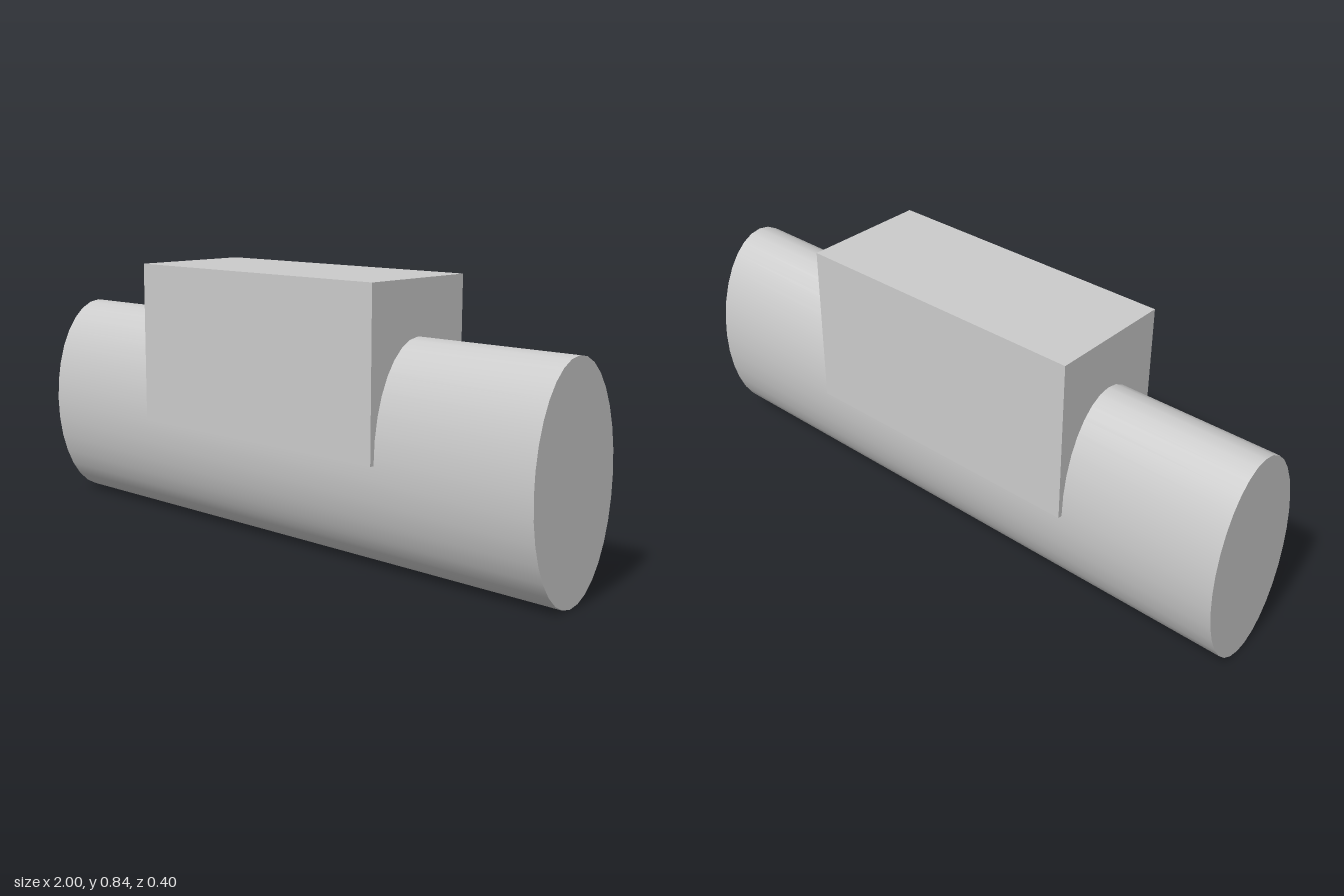
import * as THREE from 'three';

export function createModel() {
  const group = new THREE.Group();
  const material = new THREE.MeshStandardMaterial({ color: 0xcccccc });

  const add = (name, geometry, x, y, z) => {
    const mesh = new THREE.Mesh(geometry, material);
    mesh.name = name;
    mesh.position.set(x, y, z);
    group.add(mesh);
  };

  // Long capped body with a tall elliptical cross-section, lying along x
  const body = new THREE.CylinderGeometry(1, 1, 2, 32);
  body.rotateZ(-Math.PI / 2);
  body.scale(1, 0.34, 0.188);
  add('body', body, 0, 0.34, 0);

  // Block straddling the upper half of the body, slightly off-centre
  add('topBlock', new THREE.BoxGeometry(0.965, 0.51, 0.404), -0.01, 0.59, 0);

  return group;
}
